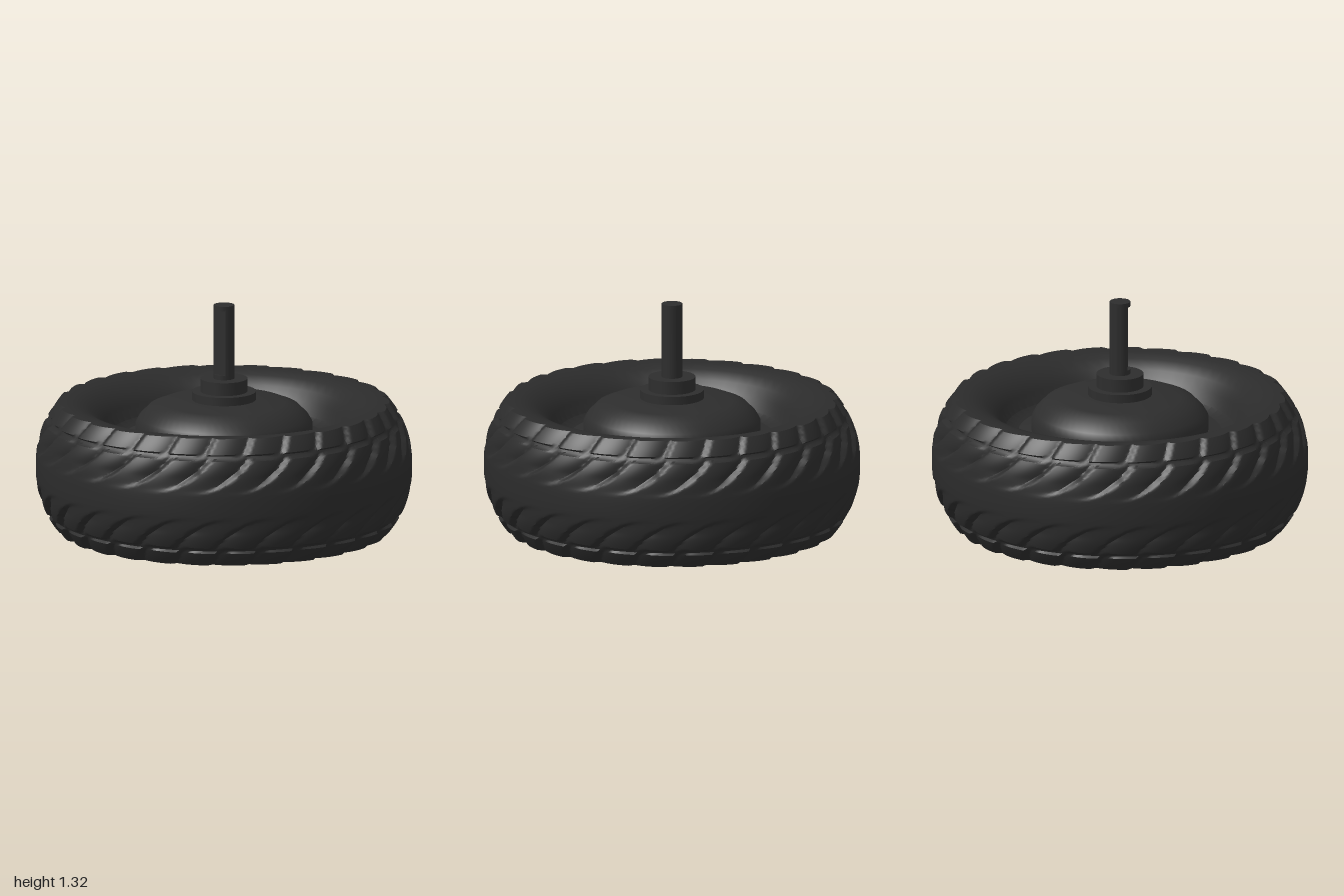
import * as THREE from 'three';
import { toCreasedNormals } from 'three/addons/utils/BufferGeometryUtils.js';

const MID = 0.455, HALF = 0.345, LUGS = 28;
const rubber = new THREE.MeshStandardMaterial({ color: 0x2b2b2b });
const metal = new THREE.MeshStandardMaterial({ color: 0x2d2d2d });
const dark = new THREE.MeshStandardMaterial({ color: 0x151515 });

function add(parent, name, geometry, material) {
  const mesh = new THREE.Mesh(geometry, material);
  mesh.name = name;
  parent.add(mesh);
  return mesh;
}

function lathe(points, segments = 64, crease = 0.6) {
  const pts = points.map(([r, y]) => new THREE.Vector2(r, y));
  return toCreasedNormals(new THREE.LatheGeometry(pts, segments), crease);
}

// Depth of the tread grooves; u counts lugs round the wheel, a is the distance from the mid plane
function treadDepth(u, a) {
  const fract = (v) => v - Math.floor(v);
  const saw = (f) => (f < 0.12 ? 1 - f / 0.12 : Math.pow((f - 0.12) / 0.88, 2.5));
  if (a < 0.07) return 0;
  if (a < 0.24) {
    const t = (a - 0.07) / 0.17;
    return 0.03 * Math.min(1, t * 2.2) * saw(fract(u - 1.4 * Math.sqrt(t)));
  }
  if (a < 0.262) return 0.022;
  return 0.028 * saw(fract(u - 0.3 - 2.5 * (a - 0.262)));
}

// Tread: a drum of rings, with curved blades and shoulder blocks pressed in by the depth rule
function treadGeometry() {
  const around = LUGS * 14, rows = 66;
  const pos = [], index = [];
  for (let j = 0; j <= rows; j++) {
    const lip = j === 0 || j === rows;
    const v = THREE.MathUtils.clamp(-1 + (2 * (j - 1)) / (rows - 2), -1, 1) * HALF;
    const a = Math.abs(v), s = v < 0 ? -1 : 1;
    for (let i = 0; i < around; i++) {
      const th = (i / around) * Math.PI * 2;
      const u = (s * i * LUGS) / around;
      const edge = 1 - 0.12 * Math.pow(a / HALF, 2.4);
      const r = lip ? 0.835 : edge - treadDepth(u, a);
      pos.push(r * Math.sin(th), MID + v, r * Math.cos(th));
      if (j < rows) {
        const p = j * around + i, q = j * around + ((i + 1) % around);
        index.push(p, q, q + around, p, q + around, p + around);
      }
    }
  }
  const g = new THREE.BufferGeometry();
  g.setAttribute('position', new THREE.Float32BufferAttribute(pos, 3));
  g.setIndex(index);
  return toCreasedNormals(g, 0.7);
}

// Height of the domed cap's underside at radius r
const capY = (r) => 0.008 + 0.092 * Math.pow(r / 0.56, 2);

export function createModel() {
  const model = new THREE.Group();
  model.name = 'wheel';

  // Tyre
  const tyre = new THREE.Group();
  tyre.name = 'tyre';
  model.add(tyre);
  add(tyre, 'tread', treadGeometry(), rubber);
  const wall = [[0.85, 0.344], [0.8, 0.343], [0.74, 0.325], [0.68, 0.285], [0.64, 0.235], [0.61, 0.17], [0.56, 0.14], [0.53, 0.13]];
  add(tyre, 'innerSidewall', lathe(wall.map(([r, d]) => [r, MID + d])), rubber);
  add(tyre, 'outerSidewall', lathe(wall.map(([r, d]) => [r, MID - d]).reverse()), rubber);

  // Hub drum with domed back and stepped flanges
  add(model, 'hub', lathe([
    [0.54, 0.5], [0.54, 0.61], [0.47, 0.62], [0.47, 0.69], [0.45, 0.725], [0.40, 0.775],
    [0.33, 0.803], [0.17, 0.815], [0.17, 0.86], [0.125, 0.86], [0.125, 0.93], [0, 0.93],
  ]), metal);

  // Axle: round ends joined by a shaft with a flat on its front
  const axle = new THREE.Group();
  axle.name = 'axle';
  model.add(axle);
  const R = 0.055, cut = Math.asin(0.04 / R);
  const section = new THREE.Shape();
  section.absarc(0, 0, R, -cut, Math.PI + cut, false);
  section.closePath();
  const shaft = new THREE.ExtrudeGeometry(section, { depth: 0.36, bevelEnabled: false, curveSegments: 24 });
  shaft.rotateX(-Math.PI / 2).translate(0, 0.95, 0);
  add(axle, 'flattedShaft', toCreasedNormals(shaft, 0.5), metal);
  for (const [name, y, h] of [['axleCollar', 0.94, 0.03], ['axleTip', 1.3175, 0.025]]) {
    add(axle, name, new THREE.CylinderGeometry(R, R, h, 24), metal).position.y = y;
  }

  // Domed wheel cap on the underside
  const capProfile = [];
  for (let i = 0; i <= 12; i++) capProfile.push([(0.56 * i) / 12, capY((0.56 * i) / 12)]);
  capProfile.push([0.60, 0.125], [0.625, 0.17], [0.62, 0.24]);
  add(model, 'wheelCap', lathe(capProfile), metal);

  // Three-cornered stiffening rib that follows the dome, and three bolts between its corners
  const corner = (k, r) => {
    const a = THREE.MathUtils.degToRad(67 + 120 * k);
    return new THREE.Vector3(r * Math.cos(a), 0, r * Math.sin(a));
  };
  const path = [];
  for (let k = 0; k < 3; k++) {
    for (let i = 0; i < 10; i++) {
      const p = corner(k, 0.44).lerp(corner(k + 1, 0.44), i / 10);
      p.y = capY(Math.hypot(p.x, p.z)) + 0.004;
      path.push(p);
    }
    const bolt = add(model, 'bolt', new THREE.CylinderGeometry(0.025, 0.025, 0.02, 12), dark);
    bolt.position.copy(corner(k + 0.5, 0.42)).setY(capY(0.42) + 0.004);
  }
  const rib = new THREE.TubeGeometry(new THREE.CatmullRomCurve3(path, true), 120, 0.018, 8, true);
  add(model, 'capRib', rib, metal);

  return model;
}
